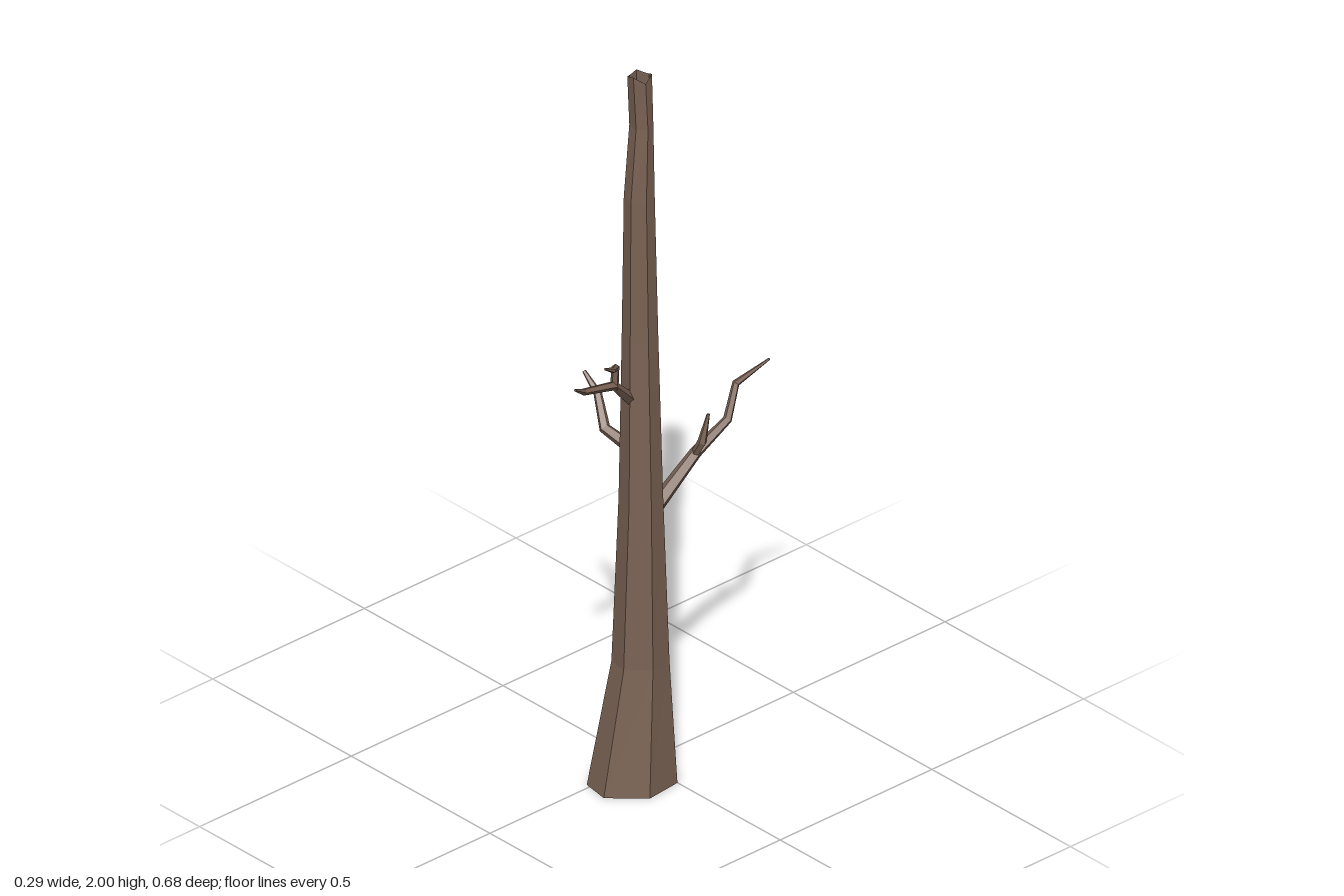
import * as THREE from 'three';

const bark = new THREE.MeshStandardMaterial({ color: 0x7a6254, flatShading: true, side: THREE.DoubleSide });

// Joins rings of points (clockwise seen from the growing end) into a faceted skin
function loft(name, rings) {
  const pos = [];
  const n = rings[0].length;
  for (let i = 0; i < rings.length - 1; i++) {
    for (let j = 0; j < n; j++) {
      const k = (j + 1) % n;
      const a = rings[i][j], b = rings[i][k], c = rings[i + 1][k], d = rings[i + 1][j];
      for (const p of [b, a, d, b, d, c]) pos.push(p.x, p.y, p.z);
    }
  }
  const geo = new THREE.BufferGeometry();
  geo.setAttribute('position', new THREE.Float32BufferAttribute(pos, 3));
  geo.computeVertexNormals();
  const mesh = new THREE.Mesh(geo, bark);
  mesh.name = name;
  return mesh;
}

// Tapered, kinked branch through points [x, y, z, radius]
function branch(name, path, sides = 5) {
  const pts = path.map(([x, y, z]) => new THREE.Vector3(x, y, z));
  const last = pts.length - 1;
  let u = new THREE.Vector3(0.3, 0.2, 1);
  const first = pts[1].clone().sub(pts[0]).normalize();
  if (Math.abs(first.dot(u.clone().normalize())) > 0.6) u.set(1, 0.2, 0);
  const rings = pts.map((p, i) => {
    const t = new THREE.Vector3();
    if (i > 0) t.add(p.clone().sub(pts[i - 1]).normalize());
    if (i < last) t.add(pts[i + 1].clone().sub(p).normalize());
    t.normalize();
    u = u.clone().addScaledVector(t, -u.dot(t)).normalize();
    const v = t.clone().cross(u);
    return Array.from({ length: sides }, (_, j) => {
      const a = (j / sides) * Math.PI * 2, r = path[i][3];
      return p.clone().addScaledVector(u, Math.cos(a) * r).addScaledVector(v, -Math.sin(a) * r);
    });
  });
  rings.push(rings[last].map(() => pts[last].clone())); // closed tip
  return loft(name, rings);
}

export function createModel() {
  const model = new THREE.Group();
  model.name = 'deadTree';

  // Trunk outline in a unit box (x, z): irregular at the root, rounder higher up
  const rootShape = [[0, 0.16], [0.6, 0], [0.94, 0.13], [1, 0.61], [0.56, 1], [0.13, 0.94], [0, 0.74]];
  const upperShape = [[0.03, 0.24], [0.52, 0], [0.93, 0.2], [1, 0.62], [0.66, 1], [0.2, 0.92], [0, 0.6]];
  // Trunk levels: y, xMin, xMax, zMin, zMax
  const levels = [
    [0, -0.035, 0.14, -0.027, 0.182],
    [0.34, -0.006, 0.117, -0.015, 0.122],
    [0.8, 0.004, 0.107, -0.002, 0.107],
    [1.25, 0.013, 0.097, 0.01, 0.1],
    [1.65, 0.02, 0.091, 0.02, 0.096],
    [1.85, 0.025, 0.088, 0.027, 0.079],
    [1.99, 0.028, 0.087, 0.03, 0.088],
  ];
  const rimHeights = [0, -0.005, 0.01, -0.008, 0.01, 0, -0.008];
  model.add(loft('trunk', levels.map(([y, x0, x1, z0, z1], i) => rootShape.map(([rx, rz], j) => {
    const f = Math.min(1, i / 2);
    const [ux, uz] = upperShape[j];
    return new THREE.Vector3(
      THREE.MathUtils.lerp(x0, x1, THREE.MathUtils.lerp(rx, ux, f)),
      y + (i === levels.length - 1 ? rimHeights[j] : 0),
      THREE.MathUtils.lerp(z0, z1, THREE.MathUtils.lerp(rz, uz, f)),
    );
  }))));

  // Long rear branch and its twig
  model.add(branch('rearBranch', [
    [0.056, 0.74, 0.02, 0.022], [0.06, 0.855, -0.125, 0.016], [0.084, 0.925, -0.207, 0.012],
    [0.045, 0.985, -0.27, 0.01], [0.095, 1.05, -0.335, 0.003],
  ]));
  model.add(branch('rearTwig', [
    [0.06, 0.85, -0.12, 0.011], [0.085, 0.895, -0.122, 0.012], [0.09, 0.97, -0.138, 0.004],
  ]));

  // Right-hand branch
  model.add(branch('rightBranch', [
    [0.03, 0.925, 0.058, 0.018], [-0.05, 0.955, 0.076, 0.015],
    [-0.097, 1.025, 0.056, 0.011], [-0.142, 1.07, 0.06, 0.005],
  ]));

  // Front branch and its fork
  model.add(branch('frontBranch', [
    [0.055, 1.085, 0.085, 0.017], [0.09, 1.175, 0.175, 0.012],
    [0.095, 1.2, 0.277, 0.009], [0.127, 1.242, 0.336, 0.003],
  ]));
  model.add(branch('frontTwig', [
    [0.088, 1.165, 0.17, 0.011], [0.092, 1.225, 0.17, 0.01],
    [0.13, 1.25, 0.212, 0.007], [0.142, 1.274, 0.25, 0.003],
  ]));

  return model;
}
